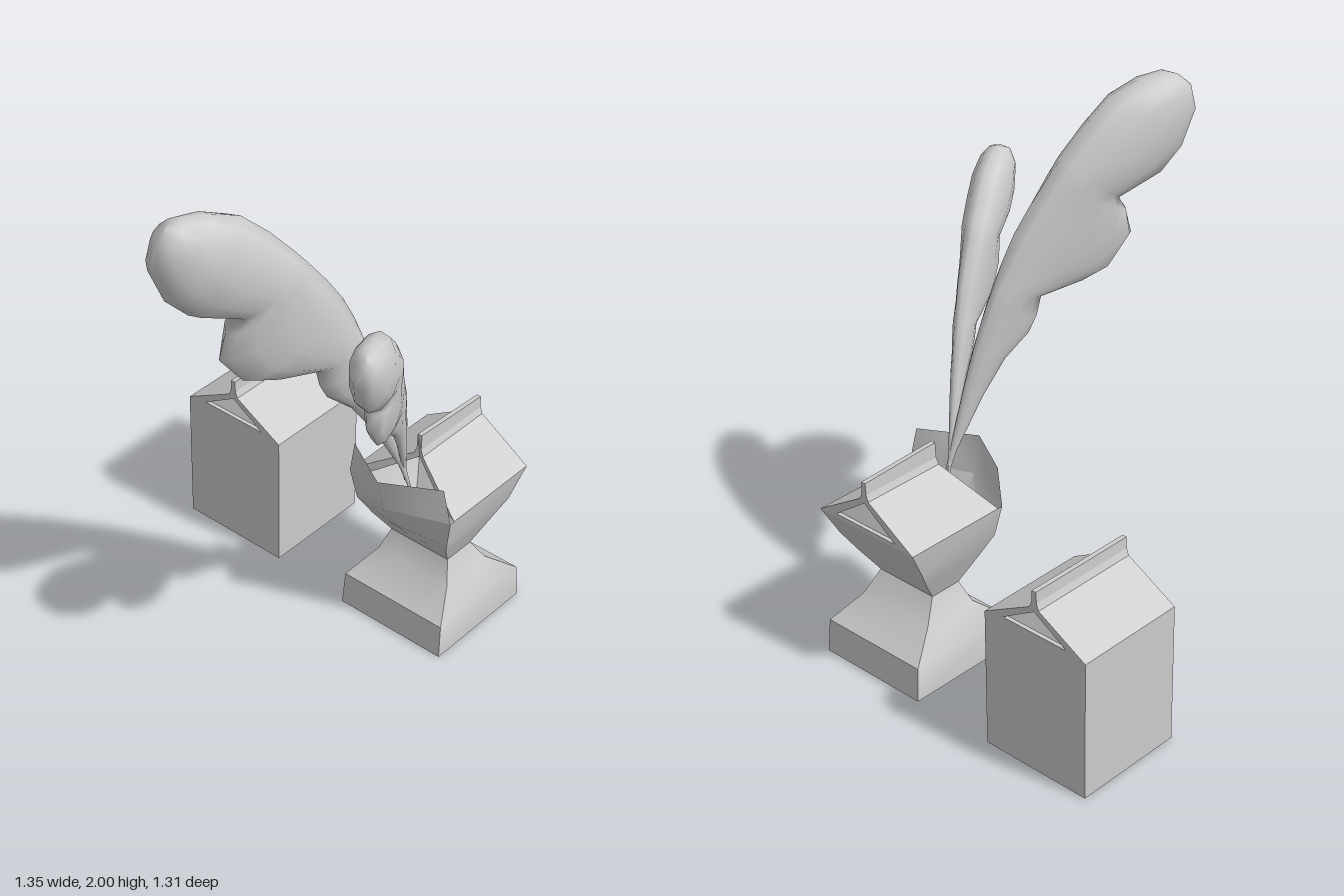
import * as THREE from 'three';
import { toCreasedNormals } from 'three/addons/utils/BufferGeometryUtils.js';

const grey = new THREE.MeshStandardMaterial({ color: 0xcccccc });
const grey2 = new THREE.MeshStandardMaterial({ color: 0xcccccc, side: THREE.DoubleSide });

function add(parent, name, geometry, material = grey) {
  const mesh = new THREE.Mesh(geometry, material);
  mesh.name = name;
  parent.add(mesh);
  return mesh;
}

// Skin over a list of rings with equal point counts
function loft(rings, closed = true) {
  const n = rings[0].length, index = [];
  for (let r = 0; r < rings.length - 1; r++) {
    for (let i = 0; i < (closed ? n : n - 1); i++) {
      const a = r * n + i, b = r * n + (i + 1) % n;
      index.push(a, b, b + n, a, b + n, a + n);
    }
  }
  const g = new THREE.BufferGeometry();
  g.setAttribute('position', new THREE.Float32BufferAttribute(rings.flat(2), 3));
  g.setIndex(index);
  g.computeVertexNormals();
  return g;
}

// Gabled roof with a crimped fin; cut > 0 trims the front to a chevron
function addRoof(parent, { w, eave, base, top, zb, zf, cut = 0 }) {
  const s = new THREE.Shape([
    [-w, eave], [-0.165, eave], [0, base - 0.012], [0.165, eave], [w, eave],
    [0.02, base], [0.011, base + 0.025], [0.009, top],
    [-0.009, top], [-0.011, base + 0.025], [-0.02, base],
  ].map(p => new THREE.Vector2(...p)));
  const g = new THREE.ExtrudeGeometry(s, { depth: zf - zb, bevelEnabled: false });
  g.translate(0, 0, zb);
  const p = g.attributes.position;
  for (let i = 0; cut && i < p.count; i++) {
    if (p.getZ(i) < (zb + zf) / 2) continue;
    p.setZ(i, zf - cut * (1 - Math.abs(p.getX(i)) / w));
    if (p.getY(i) > base + 0.03) p.setY(i, p.getY(i) + 0.015);
  }
  g.computeVertexNormals();
  add(parent, 'roof', g);

  // folded-in gable panels, each above a narrow sill
  const ends = cut ? [[zb, 1]] : [[zb, 1], [zf, -1]];
  for (const [z, inward] of ends) {
    const sill = add(parent, 'gableSill', new THREE.BoxGeometry(0.33, 0.015, 0.06));
    sill.position.set(0, eave + 0.0075, z + inward * 0.03);
    const panel = new THREE.BufferGeometry();
    panel.setAttribute('position', new THREE.Float32BufferAttribute([
      0.16 * inward, eave + 0.014, z + inward * 0.015,
      -0.16 * inward, eave + 0.014, z + inward * 0.015,
      0, base - 0.008, z + inward * 0.06,
    ], 3));
    panel.computeVertexNormals();
    add(parent, 'gablePanel', panel, grey2);
  }
}

function closedCarton() {
  const g = new THREE.Group();
  g.name = 'closedCarton';
  add(g, 'cartonBody', new THREE.BoxGeometry(0.446, 0.54, 0.44)).position.set(0, 0.27, -0.435);
  addRoof(g, { w: 0.223, eave: 0.54, base: 0.652, top: 0.72, zb: -0.655, zf: -0.215 });
  g.position.x = -0.458;
  return g;
}

function openCarton() {
  const g = new THREE.Group();
  g.name = 'openCarton';
  // front edge from one corner round the bulge to the other
  const front = (y, w, zf, zc) => [-1, -0.55, 0, 0.55, 1].map(k =>
    [k * w, y, zc + (zf - zc) * Math.abs(k)]);
  // height, half width, back, front corner, front centre
  const rings = [
    [0, 0.228, -0.655, -0.19, -0.19],
    [0.13, 0.223, -0.645, -0.2, -0.2],
    [0.22, 0.16, -0.53, -0.31, -0.31],
    [0.305, 0.13, -0.475, -0.345, -0.345],
    [0.4, 0.17, -0.54, -0.28, -0.27],
    [0.48, 0.205, -0.59, -0.235, -0.205],
    [0.6, 0.228, -0.655, -0.22, -0.13],
  ].map(([y, w, zb, zf, zc]) => [[w, y, zb], [-w, y, zb], ...front(y, w, zf, zc)]);
  const bottom = rings[0].map(() => [0, 0, -0.42]);
  add(g, 'pinchedBody', toCreasedNormals(loft([bottom, ...rings]), 0.6), grey2);

  // flared pouring spout
  add(g, 'spout', loft([
    front(0.6, 0.228, -0.22, -0.13),
    front(0.74, 0.2, -0.21, -0.095),
  ], false), grey2);

  addRoof(g, { w: 0.228, eave: 0.6, base: 0.73, top: 0.8, zb: -0.655, zf: -0.24, cut: 0.085 });
  g.position.x = 0.328;
  return g;
}

// Curved plume: upper edge, lobed lower edge and half thickness at each station
function plumeGeometry() {
  const stations = [
    [-0.03, -0.12, -0.02, -0.12, 0.006],
    [0.0, 0.0, 0.025, 0.0, 0.012],
    [0.06, 0.24, 0.13, 0.19, 0.026],
    [0.1, 0.38, 0.22, 0.32, 0.036],
    [0.125, 0.46, 0.315, 0.4, 0.042],
    [0.15, 0.53, 0.345, 0.46, 0.048],
    [0.18, 0.6, 0.36, 0.53, 0.052],
    [0.22, 0.7, 0.53, 0.55, 0.06],
    [0.26, 0.78, 0.63, 0.58, 0.07],
    [0.32, 0.87, 0.715, 0.69, 0.078],
    [0.39, 0.96, 0.69, 0.79, 0.085],
    [0.44, 1.02, 0.655, 0.84, 0.09],
    [0.53, 1.12, 0.82, 0.9, 0.1],
    [0.63, 1.21, 0.9, 0.98, 0.1],
    [0.74, 1.25, 0.953, 1.11, 0.085],
    [0.83, 1.26, 0.935, 1.2, 0.05],
    [0.89, 1.24, 0.89, 1.24, 0],
  ];
  const sides = 12;
  return loft(stations.map(([us, uh, ls, lh, t]) =>
    Array.from({ length: sides }, (_, i) => {
      const a = i / sides * Math.PI * 2, k = (1 + Math.sin(a)) / 2;
      return [t * Math.cos(a), lh + (uh - lh) * k, ls + (us - ls) * k];
    })));
}

export function createModel() {
  const model = new THREE.Group();
  model.name = 'cartonsWithPlumes';
  model.add(closedCarton(), openCarton());

  const plume = plumeGeometry();
  for (const [name, scale, turn] of [['tallPlume', 1, -0.34], ['shortPlume', 0.72, 0.464]]) {
    const mesh = add(model, name, plume);
    mesh.position.set(0.33, 0.74, -0.24);
    mesh.rotation.y = turn;
    mesh.scale.setScalar(scale);
  }
  return model;
}
